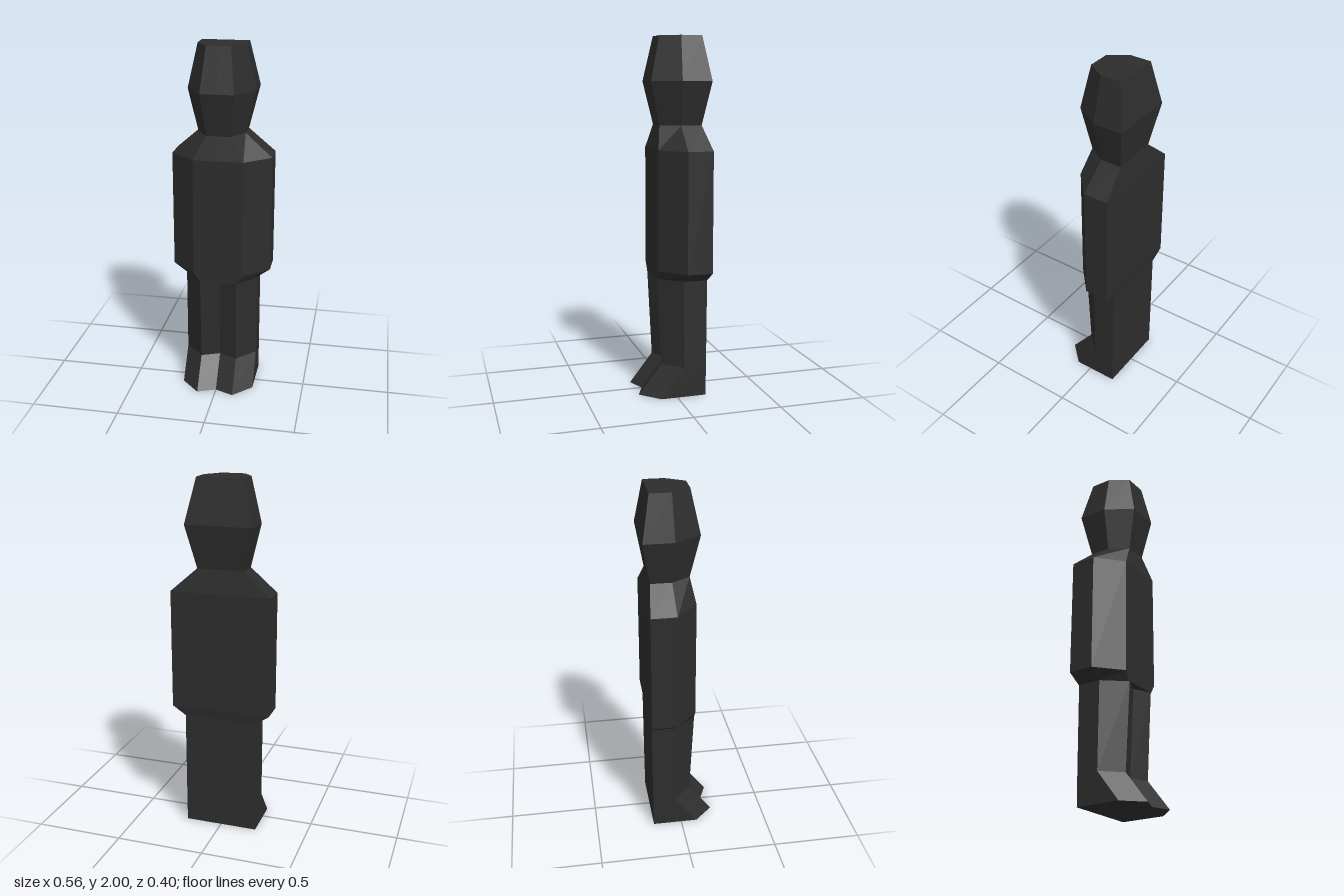
import * as THREE from 'three';

const dark = new THREE.MeshStandardMaterial({ color: 0x2d2d2d, flatShading: true });
dark.name = 'charcoal';

// Cross-section: half width w, back zb, side corner zs, front half width f, front zf, front centre zm
function ring([y, w, zb, zs, f, zf, zm = zf]) {
  return [[-w, zb], [-w, zs], [-f, zf], [0, zm], [f, zf], [w, zs], [w, zb]]
    .map(([x, z]) => [x, y, z]);
}

// Joins sections from bottom to top and closes both ends with fans
function loft(name, sections) {
  const rings = sections.map(ring);
  const pos = [];
  const tri = (a, b, c) => pos.push(...a, ...b, ...c);
  const n = rings[0].length;
  const centre = ([y, , zb, zs]) => [0, y, (zb + zs) / 2];
  const top = rings.length - 1;
  for (let j = 0; j < n; j++) {
    const k = (j + 1) % n;
    for (let i = 0; i < top; i++) {
      tri(rings[i][j], rings[i][k], rings[i + 1][k]);
      tri(rings[i][j], rings[i + 1][k], rings[i + 1][j]);
    }
    tri(centre(sections[0]), rings[0][k], rings[0][j]);
    tri(centre(sections[top]), rings[top][j], rings[top][k]);
  }
  const geo = new THREE.BufferGeometry();
  geo.setAttribute('position', new THREE.Float32BufferAttribute(pos, 3));
  geo.computeVertexNormals();
  const mesh = new THREE.Mesh(geo, dark);
  mesh.name = name;
  return mesh;
}

export function createModel() {
  const group = new THREE.Group();
  group.name = 'figure';
  group.add(
    // Joined legs with a shallow groove and feet sloping forward
    loft('legs', [
      [0, 0.208, -0.165, 0.092, 0.104, 0.198, 0.155],
      [0.17, 0.208, -0.167, -0.04, 0.104, 0.065, 0.022],
      [0.665, 0.208, -0.17, -0.035, 0.104, 0.09, 0.045],
    ]),
    // Coat-like body with tapered hem and shoulders
    loft('body', [
      [0.665, 0.21, -0.17, -0.035, 0.105, 0.09],
      [0.717, 0.282, -0.177, -0.035, 0.14, 0.09],
      [1.385, 0.282, -0.177, -0.035, 0.14, 0.09],
      [1.517, 0.132, -0.158, -0.04, 0.066, 0.064],
    ]),
    // Head, widest at the middle
    loft('head', [
      [1.517, 0.132, -0.158, -0.04, 0.066, 0.064],
      [1.755, 0.188, -0.2, -0.032, 0.093, 0.117],
      [2, 0.132, -0.158, -0.04, 0.066, 0.064],
    ]),
  );
  return group;
}
